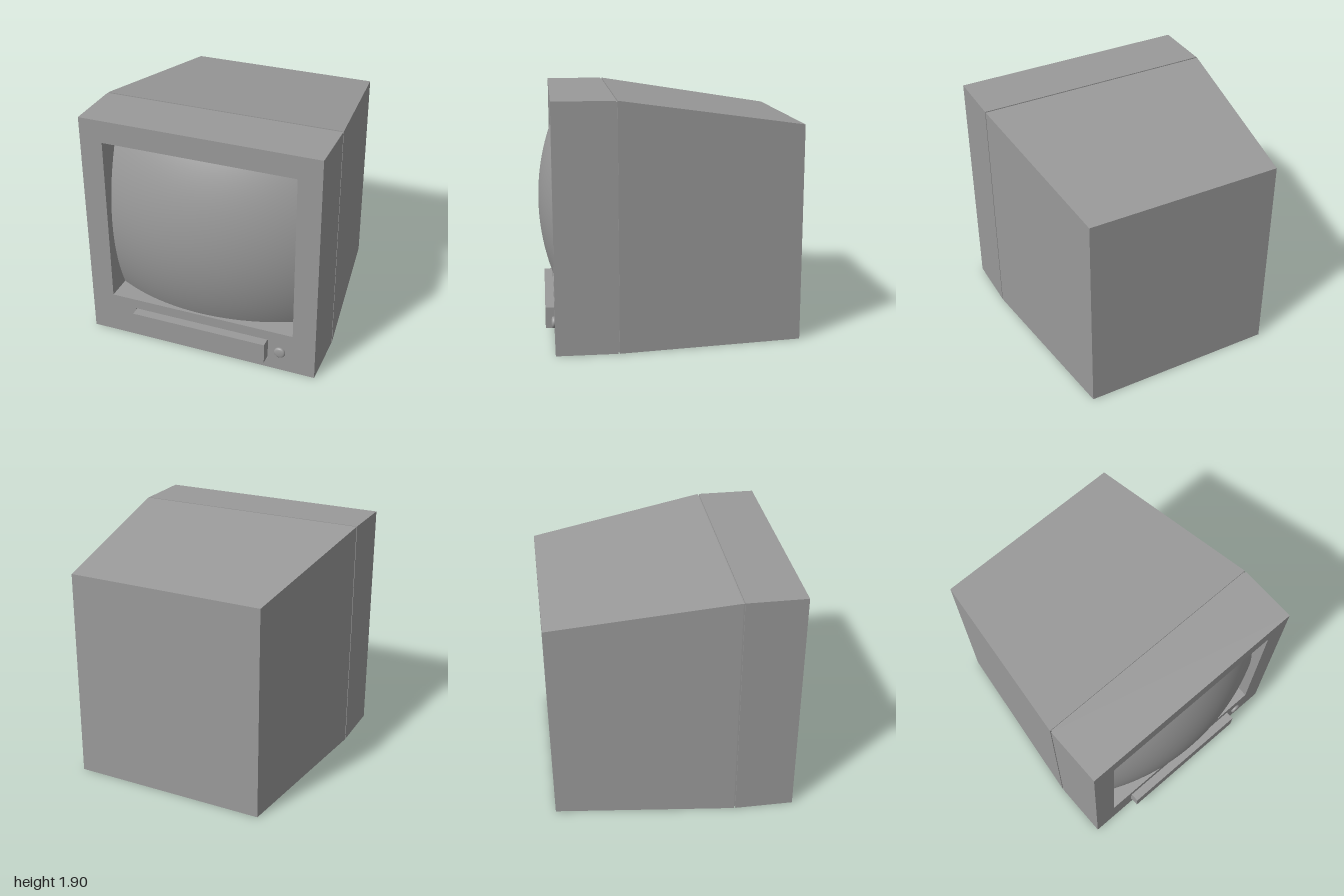
import * as THREE from 'three';

const W = 0.946, H = 1.897;           // half width and height of the cabinet
const SEAM_FRONT = 0.43, SEAM_BACK = 0.418, FACE = 0.896;

export function createModel() {
  const group = new THREE.Group();
  const material = new THREE.MeshStandardMaterial({ color: 0x9a9a9a });
  const add = (name, geometry, x = 0, y = 0, z = 0) => {
    const mesh = new THREE.Mesh(geometry, material);
    mesh.name = name;
    mesh.position.set(x, y, z);
    group.add(mesh);
  };
  const rect = (path, x, y0, y1) =>
    path.moveTo(-x, y0).lineTo(x, y0).lineTo(x, y1).lineTo(-x, y1).closePath();

  // Front frame with openings for the screen and the tape door
  const frame = rect(new THREE.Shape(), W, 0, H);
  frame.holes.push(rect(new THREE.Path(), 0.763, 0.345, 1.717));
  frame.holes.push(rect(new THREE.Path(), 0.564, 0.084, 0.262));
  add('frontFrame', new THREE.ExtrudeGeometry(frame, { depth: FACE - SEAM_FRONT, bevelEnabled: false }), 0, 0, SEAM_FRONT);

  // Recessed core that closes the seam between the two halves
  add('seamCore', new THREE.BoxGeometry(2 * W - 0.02, H - 0.02, 0.04), 0, H / 2, 0.415);

  // Rear housing, tapering at the sides and top towards the back
  const housing = new THREE.BoxGeometry(2 * W, H, SEAM_BACK + 1);
  housing.translate(0, H / 2, (SEAM_BACK - 1) / 2);
  const p = housing.attributes.position;
  for (let i = 0; i < p.count; i++) {
    if (p.getZ(i) > 0) continue;
    p.setX(i, Math.sign(p.getX(i)) * 0.777);
    if (p.getY(i) > 1) p.setY(i, 1.683);
  }
  housing.computeVertexNormals();
  add('rearHousing', housing);

  // Bulging screen: a grid bent onto a sphere
  const R = 1.77, centerY = 1.0;
  const screen = new THREE.PlaneGeometry(1.526, 1.372, 32, 32);
  screen.translate(0, 1.031, 0);
  const s = screen.attributes.position, n = screen.attributes.normal;
  for (let i = 0; i < s.count; i++) {
    const x = s.getX(i), y = s.getY(i) - centerY;
    const h = Math.sqrt(R * R - x * x - y * y);
    s.setZ(i, 1 - R + h);
    n.setXYZ(i, x / R, y / R, h / R);
  }
  add('screen', screen);

  // Tape door, standing proud of the frame
  add('tapeDoor', new THREE.BoxGeometry(1.114, 0.168, 0.535), 0, 0.173, 0.965 - 0.2675);

  // Round power button with a soft edge
  const profile = [[0.041, -0.008], [0.045, 0.002], [0.045, 0.01], [0.041, 0.017], [0.034, 0.021], [0.02, 0.0235], [0, 0.024]];
  const button = new THREE.LatheGeometry(profile.map(([r, y]) => new THREE.Vector2(r, y)), 32);
  button.rotateX(Math.PI / 2);
  add('powerButton', button, 0.663, 0.171, FACE);

  return group;
}
